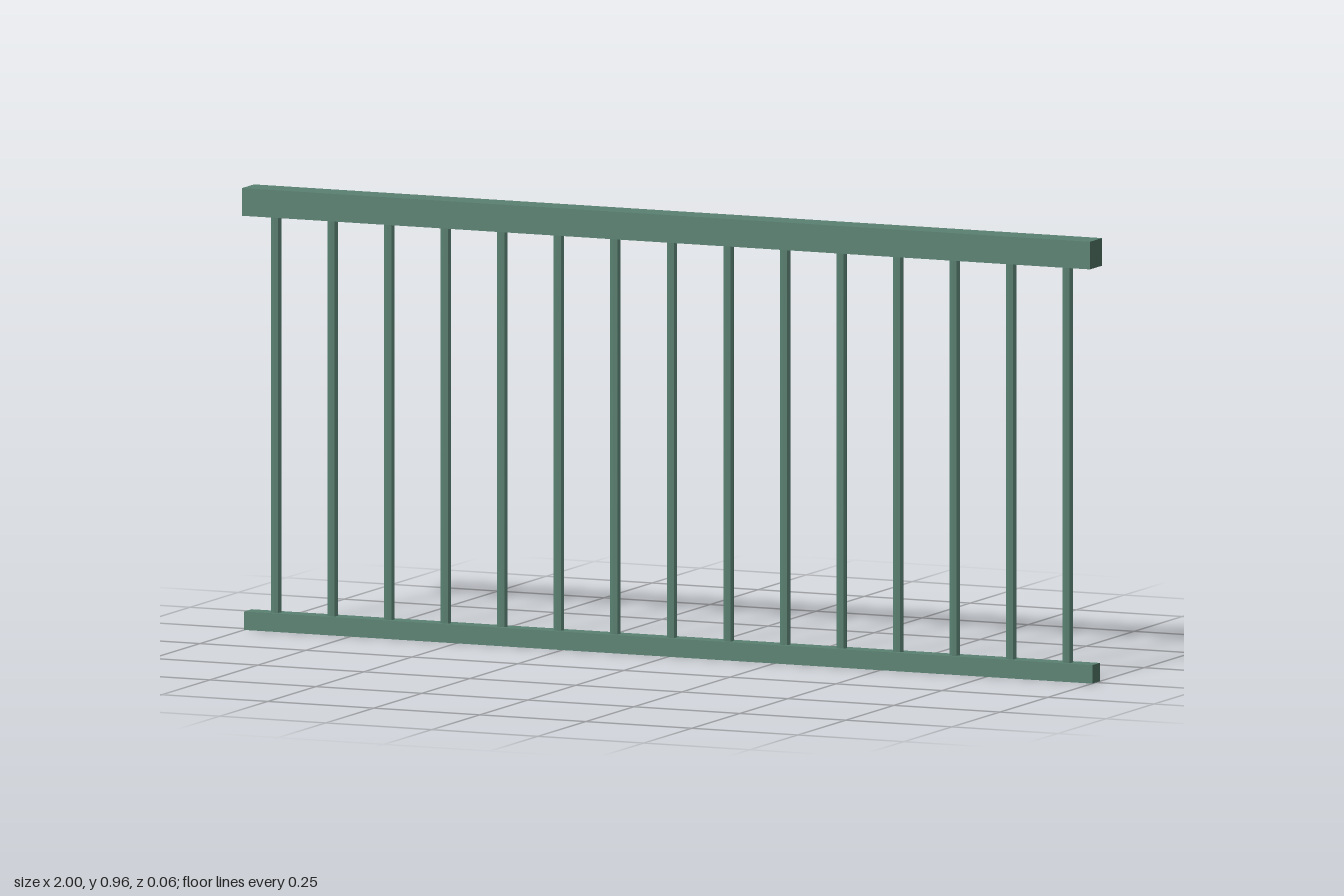
import * as THREE from 'three';

export function createModel() {
  const group = new THREE.Group();
  const paint = new THREE.MeshStandardMaterial({ color: 0x5a8272 });
  paint.name = 'green paint';
  paint.flatShading = true;

  function addPart(name, geometry, x, y) {
    const mesh = new THREE.Mesh(geometry, paint);
    mesh.name = name;
    mesh.position.set(x, y, 0);
    group.add(mesh);
  }

  // Rails
  const topHeight = 0.06, bottomHeight = 0.04, total = 0.96;
  addPart('topRail', new THREE.BoxGeometry(2, topHeight, 0.063), 0, total - topHeight / 2);
  addPart('bottomRail', new THREE.BoxGeometry(2, bottomHeight, 0.039), 0, bottomHeight / 2);

  // Evenly spaced eight-sided balusters between the rails
  const count = 15, spacing = 2 / count;
  const span = total - topHeight - bottomHeight;
  const balusterGeometry = new THREE.CylinderGeometry(0.012, 0.012, span, 8, 1);
  for (let i = 0; i < count; i++) {
    addPart(`baluster${i + 1}`, balusterGeometry, (i - (count - 1) / 2) * spacing, bottomHeight + span / 2);
  }
  return group;
}
